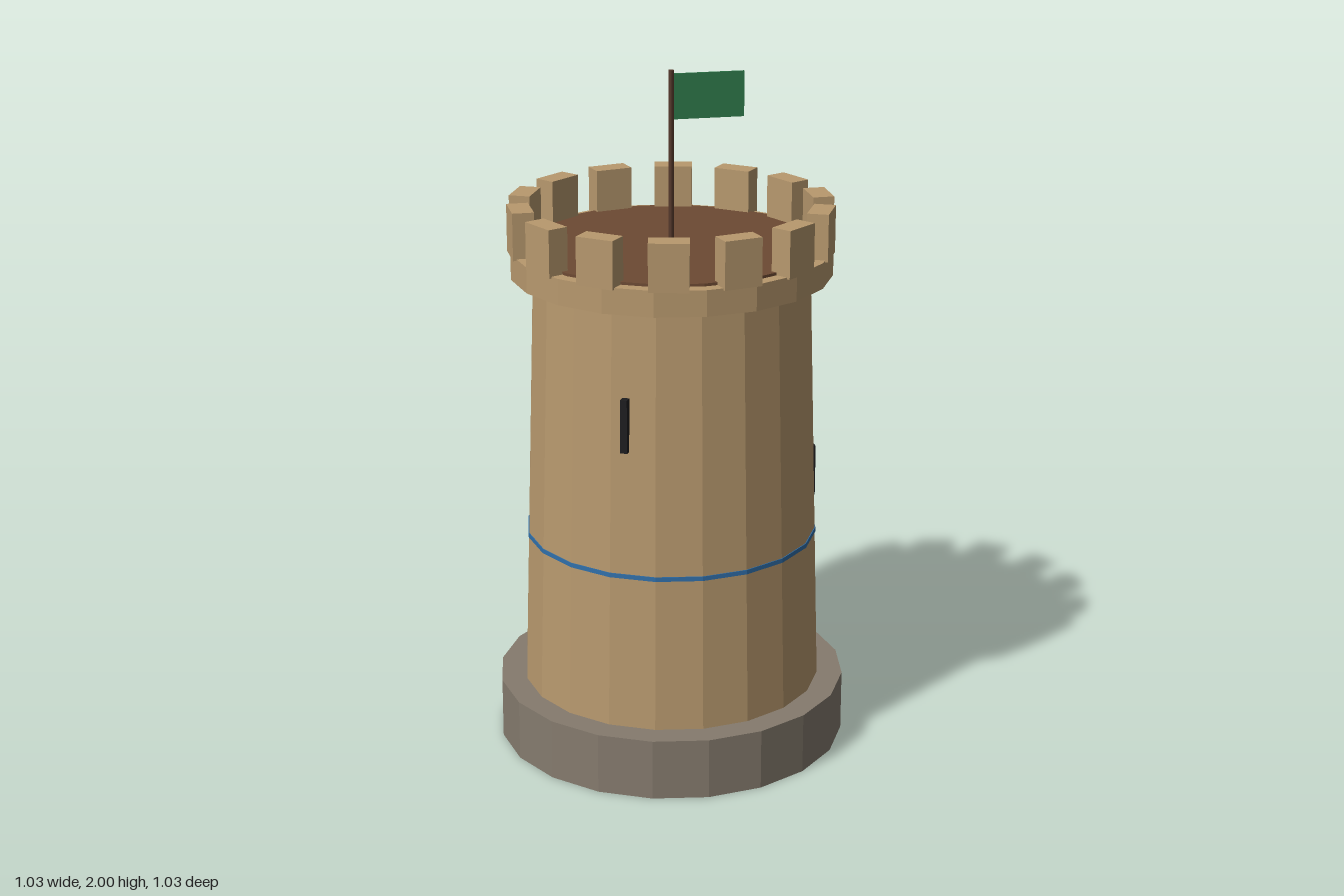
import * as THREE from 'three';

const SIDES = 20;

function mat(name, color) {
  const m = new THREE.MeshStandardMaterial({ color });
  m.name = name;
  return m;
}

export function createModel() {
  const tower = new THREE.Group();
  tower.name = 'tower';

  const sandstone = mat('sandstone', 0xb8996e);
  const baseStone = mat('grey stone', 0x857b6e);
  const roofWood = mat('roof wood', 0x6d4a33);
  const poleWood = mat('pole wood', 0x55382a);
  const dark = mat('slit black', 0x1c1c1e);
  const green = mat('flag green', 0x2f7a4a);
  const blue = mat('band blue', 0x2f6ea8);

  function add(name, geometry, material, parent = tower) {
    const mesh = new THREE.Mesh(geometry, material);
    mesh.name = name;
    parent.add(mesh);
    return mesh;
  }

  // Faceted drum between two heights
  function drum(name, rTop, rBottom, y0, y1, material, sides = SIDES) {
    const g = new THREE.CylinderGeometry(rTop, rBottom, y1 - y0, sides).toNonIndexed();
    g.computeVertexNormals();
    g.translate(0, (y0 + y1) / 2, 0);
    return add(name, g, material);
  }

  // Box standing on the wall, facing outward; angle runs from +z towards +x
  function wallBox(name, size, radius, y, angle, material, parent) {
    const box = add(name, new THREE.BoxGeometry(...size), material, parent);
    box.position.set(radius * Math.sin(angle), y, radius * Math.cos(angle));
    box.rotation.y = angle;
    return box;
  }

  // Masonry, roof and painted band
  drum('base', 0.515, 0.515, 0, 0.18, baseStone);
  drum('wall', 0.4, 0.44, 0.18, 1.425, sandstone);
  drum('parapetRing', 0.463, 0.463, 1.42, 1.495, sandstone);
  drum('roof', 0.427, 0.427, 1.47, 1.503, roofWood);
  drum('band', 0.4275, 0.428, 0.634, 0.647, blue);

  // Merlons
  const merlons = new THREE.Group();
  merlons.name = 'merlons';
  tower.add(merlons);
  for (let i = 0; i < 14; i++) {
    const angle = Math.PI / 2 + (i * Math.PI * 2) / 14;
    wallBox('merlon', [0.112, 0.137, 0.062], 0.433, 1.5585, angle, sandstone, merlons);
  }

  // Arrow slits
  const slits = [
    [-Math.PI / 6, 1.088, 0.411],
    [Math.PI / 2, 0.778, 0.421],
    [-Math.PI * 5 / 6, 0.925, 0.416],
  ];
  for (const [angle, y, r] of slits) {
    wallBox('arrowSlit', [0.02, 0.155, 0.031], r, y, angle, dark);
  }

  // Flagpole and flag
  drum('flagpole', 0.008, 0.008, 1.5, 2, poleWood, 8);
  add('flag', new THREE.BoxGeometry(0.206, 0.13, 0.005), green).position.set(0.107, 1.925, 0);

  return tower;
}
